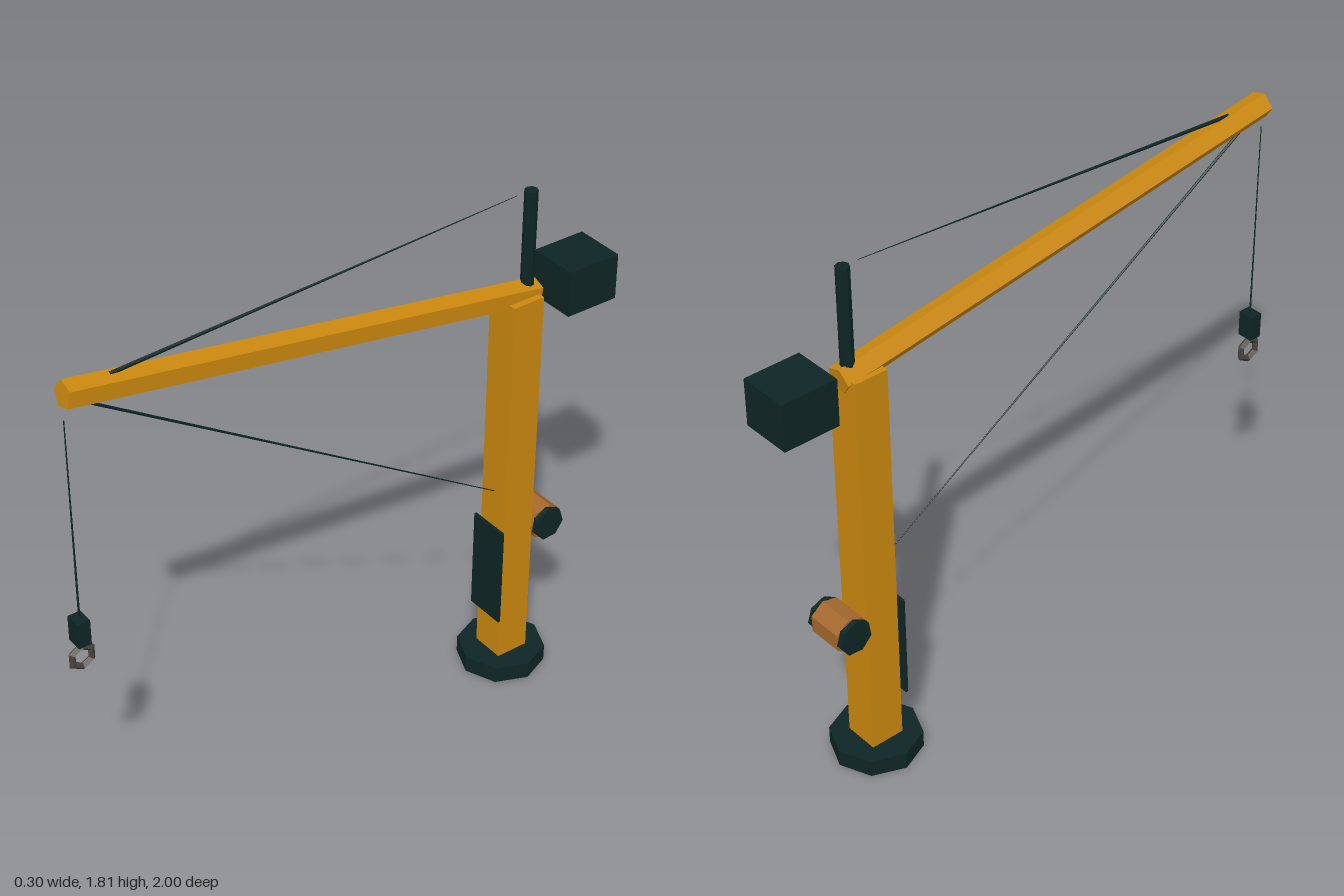
import * as THREE from 'three';

const material = (name, color) => {
  const m = new THREE.MeshStandardMaterial({ color });
  m.name = name;
  return m;
};

export function createModel() {
  const crane = new THREE.Group();
  crane.name = 'jibCrane';
  const orange = material('orangePaint', 0xcb880f);
  const dark = material('darkSteel', 0x0e2525);
  const brown = material('drumBrown', 0xa5682e);
  const grey = material('hookGrey', 0x47413e);

  const add = (name, geometry, mat, x, y, z) => {
    // unshared corners keep every facet flat
    const flat = geometry.index ? geometry.toNonIndexed() : geometry;
    flat.computeVertexNormals();
    const mesh = new THREE.Mesh(flat, mat);
    mesh.name = name;
    mesh.position.set(x, y, z);
    crane.add(mesh);
    return mesh;
  };
  const box = (name, mat, w, h, d, x, y, z) =>
    add(name, new THREE.BoxGeometry(w, h, d), mat, x, y, z);

  // Prism between two [y, z] points in the middle plane, r0 at the start, r1 at the end
  const beam = (name, mat, [y0, z0], [y1, z1], r0, r1, sides, turn = 0) => {
    const length = Math.hypot(y1 - y0, z1 - z0);
    const geometry = new THREE.CylinderGeometry(r1, r0, length, sides);
    geometry.rotateY(turn);
    const mesh = add(name, geometry, mat, 0, (y0 + y1) / 2, (z0 + z1) / 2);
    mesh.rotation.x = Math.atan2(z1 - z0, y1 - y0);
    return mesh;
  };

  // Base and post
  add('base', new THREE.CylinderGeometry(0.15, 0.15, 0.06, 8), dark, 0, 0.03, -0.667);
  box('post', orange, 0.12, 1.39, 0.118, 0, 0.755, -0.668);
  box('frontPanel', dark, 0.146, 0.37, 0.009, 0, 0.41, -0.594);

  // Five-sided boom rising to the front, with an edge towards -x
  beam('boom', orange, [1.441, -0.738], [1.714, 0.953], 0.045, 0.045, 5, -Math.PI / 2);

  // Mast and counterweight
  add('mast', new THREE.CylinderGeometry(0.022, 0.022, 0.37, 8), dark, 0, 1.625, -0.705);
  box('counterweight', dark, 0.175, 0.16, 0.193, 0, 1.442, -0.9035);

  // Stay cables, thickest at the boom
  beam('upperCable', dark, [1.726, 0.8], [1.807, -0.65], 0.007, 0.001, 5);
  beam('lowerCable', dark, [1.675, 0.9], [0.715, -0.62], 0.005, 0.0015, 5);

  // Winch drum with end caps
  const drum = add('winchDrum', new THREE.CylinderGeometry(0.064, 0.064, 0.125, 7), brown, 0, 0.558, -0.785);
  drum.rotation.z = Math.PI / 2;
  for (const side of [-1, 1]) {
    const cap = add('winchCap', new THREE.CylinderGeometry(0.06, 0.06, 0.02, 7), dark, side * 0.071, 0.558, -0.785);
    cap.rotation.set(0.3, 0, Math.PI / 2);
  }

  // Hoist line, block and ring
  beam('hoistLine', dark, [0.92, 0.955], [1.63, 0.955], 0.004, 0.002, 4);
  box('hookBlock', dark, 0.056, 0.09, 0.044, 0, 0.885, 0.957);
  const ring = new THREE.TorusGeometry(0.038, 0.013, 4, 6);
  ring.rotateZ(Math.PI / 6);
  ring.rotateY(Math.PI / 2);
  add('hookRing', ring, grey, 0, 0.785, 0.956);

  return crane;
}
